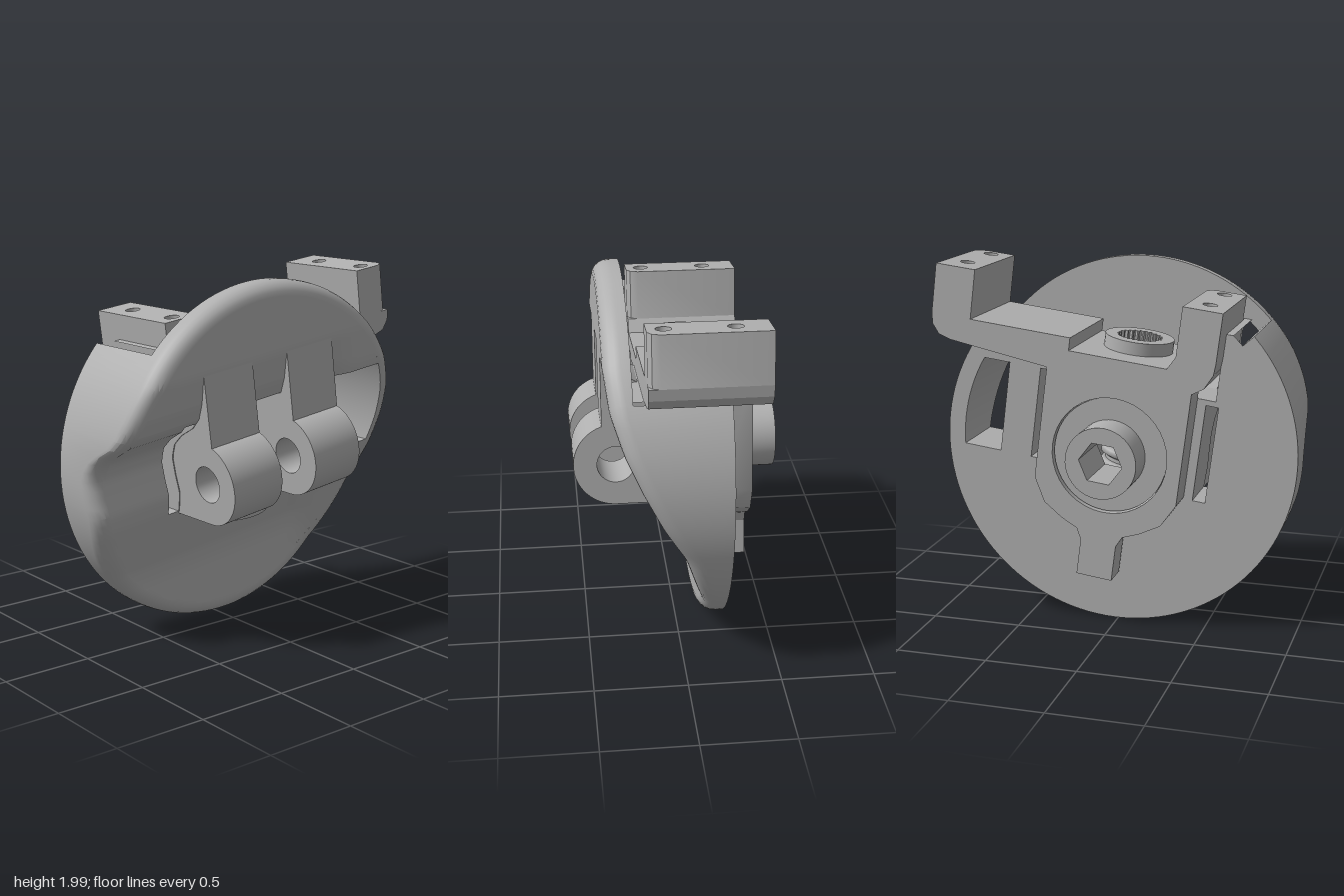
import * as THREE from 'three';
import { toCreasedNormals } from 'three/addons/utils/BufferGeometryUtils.js';

const grey = new THREE.MeshStandardMaterial({ color: 0xb0b0b0 });
grey.name = 'grey metal';

// Outer face of the round body, x against height v: grooved at the front, a gentle ramp at the back
const GROOVE = [[-1, -.11], [-.62, -.11], [-.53, -.095], [-.45, -.06], [-.2, .05], [-.1, .075], [0, .055], [.1, .045],
  [.18, .08], [.24, .15], [.3, .26], [.36, .32], [.45, .36], [.6, .4], [1, .4]];
const RAMP = [[-1, -.11], [-.75, -.11], [-.4, 0], [-.2, .12], [0, .22], [.2, .31], [.4, .375], [.6, .4], [1, .4]];
function sample(profile, v) {
  for (let i = 1; i < profile.length; i++) {
    const [v0, x0] = profile[i - 1], [v1, x1] = profile[i];
    if (v <= v1) return x0 + (x1 - x0) * Math.max(0, (v - v0) / (v1 - v0));
  }
  return .4;
}
const face = (w, v) =>
  THREE.MathUtils.lerp(sample(GROOVE, v), sample(RAMP, v), THREE.MathUtils.smoothstep(-w, .45, .62));
// Inner face: deep below the cut, a thin plate above it
const rear = (w, v) => (v <= (w > .5 ? .73 : w < -.13 ? .45 : .36) ? -.235 : .26);

// Openings as [w0, w1, v0, v1]: rear window, centre slot, worm head recess, front slit
const OPENINGS = [[-1, -.45, -.15, .36], [-.12, .12, -.21, .36], [-.2, .2, -.36, -.15], [.45, .52, -.21, .33]];
const open = (w, v) => OPENINGS.some(o => w > o[0] && w < o[1] && v > o[2] && v < o[3]);

function triangleSoup() {
  const pos = [];
  const tri = (a, b, c) => {
    const area = b.clone().sub(a).cross(c.clone().sub(a)).length();
    if (area > 1e-8) for (const p of [a, b, c]) pos.push(p.x, p.y, p.z);
  };
  return {
    quad(a, b, c, d) { tri(a, b, c); tri(a, c, d); },
    geometry() {
      const g = new THREE.BufferGeometry();
      g.setAttribute('position', new THREE.Float32BufferAttribute(pos, 3));
      return toCreasedNormals(g, .5);
    },
  };
}

// Middle of the body: front and rear faces on a grid, with walls round the openings
function bodyGeometry() {
  const soup = triangleSoup(), vs = [], ws = [];
  for (let i = -30; i <= 30; i++) vs.push(i * .03);
  vs.push(-.91, .91, .3601, .4501, .73, .7301);
  vs.sort((a, b) => a - b);
  for (let i = -9; i <= 9; i++) ws.push(i * .1);
  ws.push(-.91, -.65, -.55, -.45, -.13, -.1301, -.12, .12, .45, .5001, .52, .91);
  ws.sort((a, b) => a - b);
  const point = (i, j, front) => {
    const v = vs[j], W = Math.sqrt(Math.max(0, .91 * .91 - v * v));
    const w = THREE.MathUtils.clamp(ws[i], -W, W);
    return new THREE.Vector3(front ? face(w, v) : rear(w, v), v, w);
  };
  const isOpen = (i, j) => i >= 0 && j >= 0 && i < ws.length - 1 && j < vs.length - 1 &&
    open((ws[i] + ws[i + 1]) / 2, (vs[j] + vs[j + 1]) / 2);
  for (let i = 0; i < ws.length - 1; i++) for (let j = 0; j < vs.length - 1; j++) {
    if (isOpen(i, j)) continue;
    const c = [[i, j], [i, j + 1], [i + 1, j + 1], [i + 1, j]];
    const F = c.map(([a, b]) => point(a, b, true)), B = c.map(([a, b]) => point(a, b, false));
    soup.quad(...F);
    soup.quad(B[3], B[2], B[1], B[0]);
    [[-1, 0], [0, 1], [1, 0], [0, -1]].forEach(([di, dj], k) => {
      const n = (k + 1) % 4;
      if (isOpen(i + di, j + dj)) soup.quad(F[n], F[k], B[k], B[n]);
    });
  }
  return soup.geometry();
}

// Rounded rim swept round the circle
function rimGeometry() {
  const soup = triangleSoup(), angles = [];
  for (let i = 0; i <= 120; i++) angles.push(i / 120 * Math.PI * 2);
  const a1 = Math.asin(.73 / .97), a2 = Math.PI - Math.asin(.45 / .97);
  angles.push(a1 - 1e-4, a1 + 1e-4, a2 - 1e-4, a2 + 1e-4);
  angles.sort((a, b) => a - b);
  const section = a => {
    const C = Math.cos(a), S = Math.sin(a), b = rear(.97 * C, .97 * S);
    const p = (r, x) => new THREE.Vector3(x, r * S, r * C);
    const out = [p(.895, face(.895 * C, .895 * S)), p(.91, face(.91 * C, .91 * S))];
    for (let k = 1; k <= 5; k++) {
      const t = k / 5 * Math.PI / 2, r = .91 + .08 * Math.sin(t);
      out.push(p(r, face(r * C, r * S) - .09 * (1 - Math.cos(t))));
    }
    out.push(p(.99, b), p(.895, b), out[0]);
    return out;
  };
  for (let i = 0; i < angles.length - 1; i++) {
    const A = section(angles[i]), B = section(angles[i + 1]);
    for (let k = 0; k < A.length - 1; k++) soup.quad(A[k], B[k], B[k + 1], A[k + 1]);
  }
  return soup.geometry();
}

const poly = pts => new THREE.Shape(pts.map(p => new THREE.Vector2(...p)));
function disc(r, x = 0, y = 0) {
  const s = new THREE.Shape();
  s.absarc(x, y, r, 0, Math.PI * 2, false);
  return s;
}
const ngon = (n, radius) => poly(Array.from({ length: n }, (_, i) => {
  const a = i / n * Math.PI * 2, r = radius(i);
  return [r * Math.cos(a), r * Math.sin(a)];
}));
function withHoles(shape, ...holes) {
  shape.holes.push(...holes);
  return shape;
}
const extrude = (shape, depth) =>
  toCreasedNormals(new THREE.ExtrudeGeometry(shape, { depth, bevelEnabled: false, curveSegments: 20 }), .5);
// Shape drawn in (w, v), extruded along x; shape drawn in (x, w), extruded along v
const alongX = (shape, x0, x1) => extrude(shape, x1 - x0).rotateY(-Math.PI / 2).translate(x1, 0, 0);
const alongV = (shape, v0, v1) => extrude(shape, v1 - v0).rotateX(Math.PI / 2).translate(0, v1, 0);

export function createModel() {
  const root = new THREE.Group(), tilted = new THREE.Group();
  root.name = 'hingedBracket';
  tilted.name = 'tiltedAssembly';
  tilted.rotation.x = .127;
  tilted.position.y = 1;
  root.add(tilted);
  const add = (name, geo) => {
    const m = new THREE.Mesh(geo, grey);
    m.name = name;
    tilted.add(m);
  };

  add('roundBody', bodyGeometry());
  add('bodyRim', rimGeometry());
  add('windowBar', new THREE.BoxGeometry(.17, .56, .18).translate(-.15, .1, -.58));

  // Two hinge knuckles with arms that fade into the round body
  for (const w of [-.445, .12]) {
    const s = new THREE.Shape();
    s.moveTo(0, -.225);
    s.lineTo(.33, -.225);
    s.absarc(.33, 0, .225, -Math.PI / 2, 1.25, false);
    s.lineTo(.4, .6);
    s.lineTo(.3, .5);
    s.lineTo(0, .34);
    add('hingeKnuckle', extrude(withHoles(s, disc(.1, .33, 0)), .325).translate(0, 0, w));
  }

  // Mounting bracket: cross floor, two drilled blocks, plate and tab
  add('bracketFloor', alongX(poly([[-.857, .6], [-.29, .6], [-.29, .53], [.25, .53], [.29, .6], [.505, .6],
    [.5, .54], [.46, .46], [.4, .42], [-.4, .42], [-.8, .455], [-.96, .47], [-1.03, .49], [-1.07, .54], [-1.08, .6],
  ]), -.41, .2));
  for (const [name, w0, w1] of [['backBlock', -1.08, -.857], ['frontBlock', .29, .505]]) {
    const s = poly([[-.41, w0], [.14, w0], [.18, w0 + .02], [.2, w0 + .06], [.2, w1], [-.41, w1]]);
    const mid = (w0 + w1) / 2;
    add(name, alongV(withHoles(s, disc(.04, -.235, mid), disc(.04, .115, mid)), .6, .87));
  }
  const plate = poly([[-.4, .45], [-.4, -.2], [-.33, -.33], [-.22, -.4], [-.13, -.44], [-.1, -.5],
    [.1, -.5], [.13, -.44], [.22, -.4], [.33, -.33], [.4, -.2], [.4, .45]]);
  add('bracketPlate', alongX(withHoles(plate, disc(.32)), -.41, -.235));
  add('bracketTab', alongX(poly([[-.1, -.7], [.1, -.7], [.1, -.48], [-.1, -.48]]), -.41, -.26));

  // Gear hub with a hexagonal socket
  add('gearDisc', alongX(withHoles(disc(.315), ngon(6, () => .12)), -.385, -.24));
  add('gearHub', alongX(withHoles(disc(.195), ngon(6, () => .12)), -.57, -.38));

  // Upright worm screw with a toothed collar at the top and a hollow head below
  const X = -.06;
  const collarHole = ngon(96, i => (i % 4 < 2 ? .125 : .112));
  add('toothedCollar', alongV(withHoles(disc(.19), collarHole), .38, .6).translate(X, 0, 0));
  add('wormCore', new THREE.CylinderGeometry(.11, .11, .6, 32).translate(X, .1, 0));
  add('wormShoulder', new THREE.CylinderGeometry(.135, .135, .18, 32).translate(X, .29, 0));
  const helix = Array.from({ length: 81 }, (_, i) => {
    const a = i / 16 * Math.PI * 2;
    return new THREE.Vector3(X + .115 * Math.cos(a), -.18 + i / 80 * .4, .115 * Math.sin(a));
  });
  add('wormThread', new THREE.TubeGeometry(new THREE.CatmullRomCurve3(helix), 160, .03, 6));
  add('wormHead', alongV(withHoles(disc(.2), disc(.1)), -.36, -.18).translate(X, 0, 0));
  return root;
}
